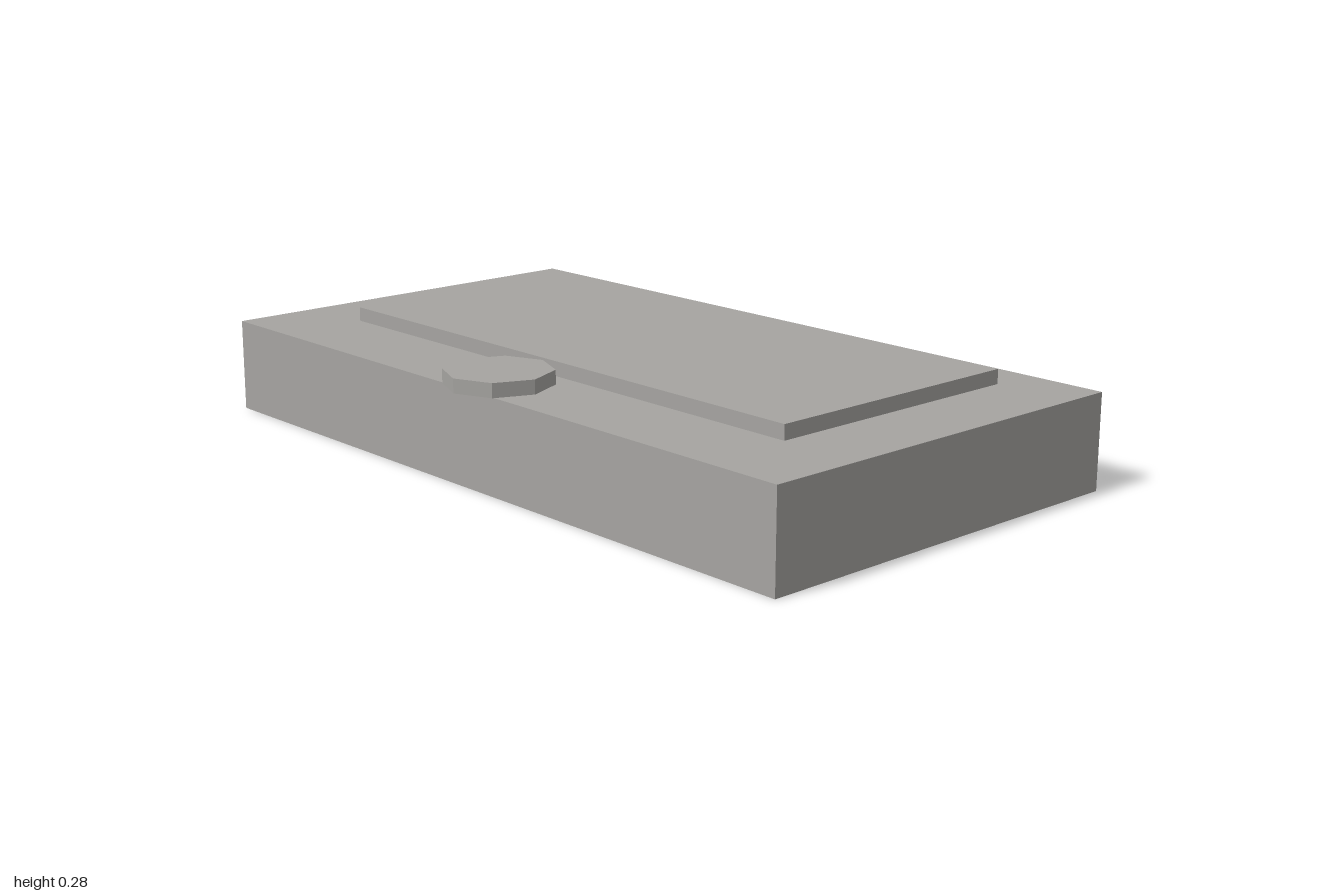
import * as THREE from 'three';

const BASE = { x: 1, back: -0.567, front: 0.521, top: 0.242 };
const PANEL = { x: 0.79, back: -0.445, front: 0.282, top: 0.279 };

// Thin-walled box: keeps only the listed faces (0 +x, 1 -x, 2 +y, 3 -y, 4 +z, 5 -z)
function shellBox(size, y0, faces) {
  const depth = size.front - size.back;
  const geo = new THREE.BoxGeometry(size.x * 2, size.top - y0, depth);
  geo.translate(0, (size.top + y0) / 2, (size.front + size.back) / 2);
  const all = Array.from(geo.index.array);
  geo.setIndex(faces.flatMap((f) => all.slice(f * 6, f * 6 + 6)));
  geo.clearGroups();
  return geo;
}

// Rectangle outline in plan; shape y is -z so it can be laid flat
function outline(path, r) {
  path.moveTo(-r.x, -r.front);
  path.lineTo(r.x, -r.front);
  path.lineTo(r.x, -r.back);
  path.lineTo(-r.x, -r.back);
  path.closePath();
  return path;
}

export function createModel() {
  const group = new THREE.Group();
  const grey = new THREE.MeshStandardMaterial({ color: 0xa6a4a1, side: THREE.DoubleSide });
  grey.name = 'warm grey';

  const add = (name, geometry) => {
    const mesh = new THREE.Mesh(geometry, grey);
    mesh.name = name;
    group.add(mesh);
    return mesh;
  };

  // Outer walls, open underneath
  add('baseWalls', shellBox(BASE, 0, [0, 1, 4, 5]));

  // Top surface with an opening below the hollow raised panel
  const deck = outline(new THREE.Shape(), BASE);
  deck.holes.push(outline(new THREE.Path(), PANEL));
  const deckGeo = new THREE.ShapeGeometry(deck);
  deckGeo.rotateX(-Math.PI / 2);
  deckGeo.translate(0, BASE.top, 0);
  add('baseTop', deckGeo);

  // Raised rectangular panel, hollow from below
  add('raisedPanel', shellBox(PANEL, BASE.top, [0, 1, 2, 4, 5]));

  // Eight-sided disc overhanging the front edge, resting just above the deck
  const discGeo = new THREE.CylinderGeometry(0.135, 0.135, 0.036, 8).toNonIndexed();
  discGeo.computeVertexNormals();
  add('frontDisc', discGeo).position.set(0, 0.261, 0.432);

  return group;
}
